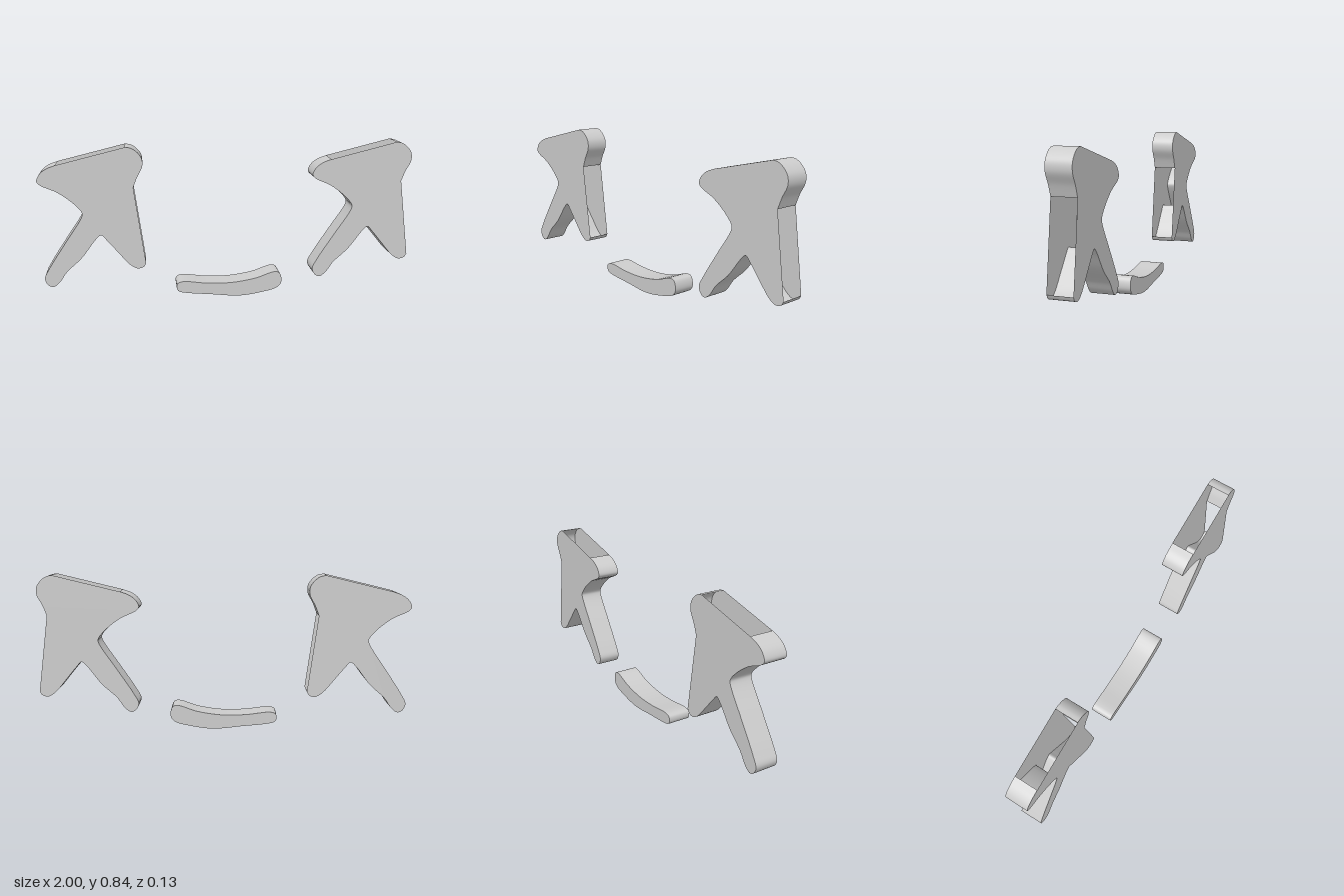
import * as THREE from 'three';

const DEPTH = 0.063;
const material = new THREE.MeshStandardMaterial({ color: 0xcccccc, side: THREE.DoubleSide });

// Smooth line through outline points
function smooth(points, closed = false) {
  const curve = new THREE.CatmullRomCurve3(
    points.map(([x, y]) => new THREE.Vector3(x, y, 0)), closed, 'centripetal');
  return curve.getPoints(points.length * 5);
}

// Side wall swept from front to back along a clockwise line
function wall(line) {
  const pos = [], index = [];
  line.forEach((p, i) => {
    pos.push(p.x, p.y, DEPTH, p.x, p.y, -DEPTH);
    if (i) {
      const a = 2 * i - 2;
      index.push(a, a + 2, a + 3, a, a + 3, a + 1);
    }
  });
  const g = new THREE.BufferGeometry();
  g.setAttribute('position', new THREE.Float32BufferAttribute(pos, 3));
  g.setIndex(index);
  g.computeVertexNormals();
  return g;
}

// Flat face plates joined by the given wall runs; gaps between runs stay open
function plateBody(name, runs) {
  const group = new THREE.Group();
  group.name = name;
  const add = (part, geometry) => {
    const mesh = new THREE.Mesh(geometry, material);
    mesh.name = part;
    group.add(mesh);
  };
  const outline = runs.flat().map((p) => new THREE.Vector2(p.x, p.y));
  const face = new THREE.ShapeGeometry(new THREE.Shape(outline));
  add('frontPlate', face.clone().translate(0, 0, DEPTH));
  add('backPlate', face.clone().rotateY(Math.PI).scale(-1, 1, 1).translate(0, 0, -DEPTH));
  // The mirrored plate needs its winding turned to face the back
  const back = group.children[1].geometry;
  const idx = back.index.array;
  for (let i = 0; i < idx.length; i += 3) [idx[i], idx[i + 1]] = [idx[i + 1], idx[i]];
  back.computeVertexNormals();
  runs.forEach((run) => add('sideWall', wall(run)));
  return group;
}

// Rounded upper corner of the eye
const corner = [
  [-0.545, 0.84], [-0.515, 0.835], [-0.485, 0.815], [-0.46, 0.78], [-0.458, 0.738],
  [-0.487, 0.68], [-0.508, 0.626],
];
// Short leg, crotch, long leg, notch and left tip of the eye
const legs = [
  [-0.452, 0.21], [-0.465, 0.19], [-0.497, 0.182], [-0.535, 0.203], [-0.604, 0.283],
  [-0.658, 0.348], [-0.684, 0.374], [-0.711, 0.353], [-0.791, 0.251], [-0.872, 0.176],
  [-0.914, 0.118], [-0.947, 0.096], [-0.973, 0.107], [-0.989, 0.144], [-0.963, 0.198],
  [-0.872, 0.337], [-0.781, 0.476], [-0.778, 0.498], [-0.818, 0.548], [-0.898, 0.61],
  [-0.985, 0.652], [-1, 0.672], [-0.985, 0.707], [-0.95, 0.735], [-0.9, 0.754],
];
// Curved bar of the mouth
const bar = [
  [-0.29, 0.06], [-0.285, 0.085], [-0.257, 0.096], [-0.123, 0.082], [0.01, 0.08],
  [0.144, 0.1], [0.25, 0.133], [0.278, 0.124], [0.289, 0.075], [0.267, 0.043],
  [0.17, 0.016], [0.053, 0.002], [-0.096, 0.016], [-0.246, 0.032], [-0.28, 0.042],
];

export function createModel() {
  const model = new THREE.Group();
  model.name = 'face';
  [['rightEye', 0], ['leftEye', 1.45]].forEach(([name, x]) => {
    const eye = plateBody(name, [smooth(corner), smooth(legs)]);
    eye.position.x = x;
    model.add(eye);
  });
  model.add(plateBody('mouth', [smooth(bar, true)]));
  return model;
}
